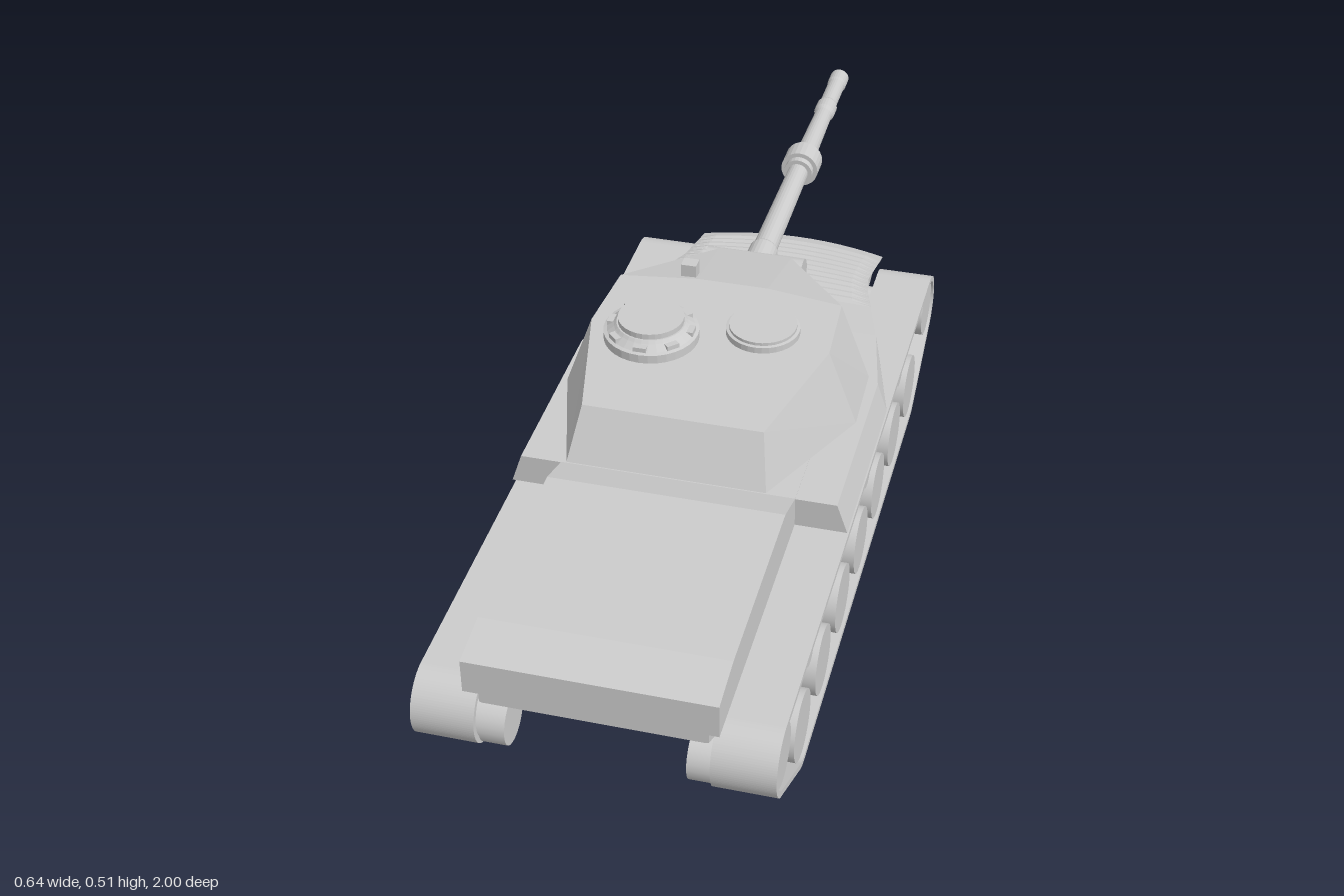
import * as THREE from 'three';

const grey = new THREE.MeshStandardMaterial({ color: 0xcccccc });
const facet = new THREE.MeshStandardMaterial({ color: 0xcccccc, flatShading: true });

export function createModel() {
  const model = new THREE.Group();

  function add(name, geometry, x = 0, y = 0, z = 0, material = grey, parent = model) {
    const mesh = new THREE.Mesh(geometry, material);
    mesh.name = name;
    mesh.position.set(x, y, z);
    parent.add(mesh);
    return mesh;
  }

  // Closed skin through a list of rings, with both ends capped
  function loft(rings) {
    const pos = [];
    const tri = (a, b, c) => pos.push(...a, ...b, ...c);
    const n = rings[0].length;
    for (let i = 0; i < rings.length - 1; i++) {
      for (let j = 0; j < n; j++) {
        const k = (j + 1) % n;
        const [a, b, c, d] = [rings[i][j], rings[i][k], rings[i + 1][j], rings[i + 1][k]];
        tri(a, b, c);
        tri(b, d, c);
      }
    }
    const cap = (ring, flip) => {
      const m = [0, 1, 2].map(k => ring.reduce((s, p) => s + p[k], 0) / n);
      ring.forEach((p, j) => {
        const q = ring[(j + 1) % n];
        flip ? tri(m, q, p) : tri(m, p, q);
      });
    };
    cap(rings[0], true);
    cap(rings[rings.length - 1], false);
    const g = new THREE.BufferGeometry();
    g.setAttribute('position', new THREE.Float32BufferAttribute(pos, 3));
    g.computeVertexNormals();
    return g;
  }

  // Side profile of (z, y) points extruded across x, centred on x = 0
  function sideExtrude(points, width, hole) {
    const shape = new THREE.Shape(points);
    if (hole) shape.holes.push(new THREE.Path(hole));
    return new THREE.ExtrudeGeometry(shape, { depth: width, bevelEnabled: false })
      .translate(0, 0, -width / 2).rotateY(-Math.PI / 2);
  }
  const v2 = list => list.map(([a, b]) => new THREE.Vector2(a, b));
  const axleX = (r, len, seg = 32) => new THREE.CylinderGeometry(r, r, len, seg).rotateZ(Math.PI / 2);

  // Upper hull: z, top half width, top y, bottom half width, bottom y
  const stations = [
    [0.44, 0.30, 0.305, 0.32, 0.245], [0.06, 0.30, 0.305, 0.32, 0.245],
    [-0.10, 0.265, 0.305, 0.275, 0.245], [-0.20, 0.235, 0.303, 0.22, 0.24],
    [-0.28, 0.213, 0.285, 0.19, 0.235], [-0.36, 0.20, 0.262, 0.18, 0.225],
    [-0.525, 0.20, 0.212, 0.195, 0.20]];
  function hullAt(z) {
    let i = 0;
    while (i < stations.length - 2 && z < stations[i + 1][0]) i++;
    const [a, b] = [stations[i], stations[i + 1]];
    const t = (z - a[0]) / (b[0] - a[0]);
    return a.map((v, k) => v + (b[k] - v) * t);
  }
  const zs = [0.44, 0.06, -0.1, -0.15];
  for (let i = 0; i <= 48; i++) zs.push(-0.2 - 0.325 * i / 48);
  const hullRings = zs.map((z, i) => {
    const [, xt, yt, xb, yb] = hullAt(z);
    const bow = Math.max(0, (-0.1 - z) / 0.425);
    // Corrugated glacis: every fourth station steps down
    const rib = i > 4 && z > -0.5 ? [0, 0.003, 0.006, 0.006][i % 4] : 0;
    const ring = [];
    const push = (x, y, half) => ring.push([x, y, z - 0.035 * bow * (1 - (x / half) ** 2)]);
    for (let k = -6; k <= 6; k++) push(xt * k / 6, yt + (Math.abs(k) < 6 ? rib : 0), xt);
    for (let k = 6; k >= -6; k--) push(xb * k / 6, yb, xb);
    return ring;
  });
  add('upperHull', loft(hullRings), 0, 0, 0, facet);

  // Lower hull: z, half width, top y, chine y, belly half width, belly y
  const lower = [
    [0.98, 0.20, 0.25, 0.212, 0.195, 0.21], [0.86, 0.20, 0.25, 0.14, 0.165, 0.085],
    [-0.26, 0.20, 0.25, 0.14, 0.165, 0.085], [-0.38, 0.185, 0.235, 0.16, 0.14, 0.115],
    [-0.525, 0.185, 0.205, 0.20, 0.17, 0.195]];
  add('lowerHull', loft(lower.map(([z, w, yt, yc, wb, yb]) =>
    [[-w, yt, z], [w, yt, z], [w, yc, z], [wb, yb, z], [-wb, yb, z], [-w, yc, z]])), 0, 0, 0, facet);

  // Raised engine deck
  add('engineDeck', sideExtrude(v2([[0.995, 0.245], [0.995, 0.312], [0.9, 0.327], [0.52, 0.333],
    [0.44, 0.306], [0.3, 0.306], [0.3, 0.245]]), 0.444));

  // Turret: rings from underside to roof, half outline from rear to front
  const turret = new THREE.Group();
  turret.name = 'turret';
  model.add(turret);
  const mirrorRing = half => [...half, ...half.slice().reverse().map(([x, y, z]) => [-x, y, z])];
  add('turretShell', loft([
    [[0.16, 0.312, 0.36], [0.265, 0.312, 0.2], [0.26, 0.312, 0.05], [0.09, 0.325, -0.13]],
    [[0.185, 0.371, 0.515], [0.285, 0.313, 0.2], [0.28, 0.313, 0.05], [0.1, 0.365, -0.19]],
    [[0.168, 0.465, 0.463], [0.23, 0.465, 0.2], [0.22, 0.463, 0.04], [0.075, 0.418, -0.165]],
    [[0.168, 0.465, 0.463], [0.23, 0.465, 0.2], [0.22, 0.463, 0.04], [0.07, 0.465, 0.02]],
  ].map(mirrorRing)), 0, 0, 0, facet, turret);
  add('turretRing', new THREE.CylinderGeometry(0.21, 0.21, 0.03, 40), 0, 0.305, 0.13, grey, turret);

  // Commander cupola, periscopes, hatch and sight
  const lathe = pts => new THREE.LatheGeometry(v2(pts), 32);
  add('cupola', lathe([[0.09, 0], [0.09, 0], [0.09, 0.018], [0.083, 0.02], [0.07, 0.03], [0.065, 0.035],
    [0.062, 0.035], [0.062, 0.046], [0.06, 0.046], [0, 0.046]]), -0.105, 0.464, 0.225, facet, turret);
  for (let i = 0; i < 8; i++) {
    const a = i * Math.PI / 4;
    add('cupolaPeriscope', new THREE.BoxGeometry(0.025, 0.01, 0.012),
      -0.105 + 0.077 * Math.sin(a), 0.488, 0.225 + 0.077 * Math.cos(a), grey, turret).rotation.y = a;
  }
  add('loaderHatch', lathe([[0.07, 0], [0.07, 0.013], [0.064, 0.014], [0.064, 0.02], [0, 0.02]]),
    0.095, 0.464, 0.163, facet, turret);
  add('sight', new THREE.BoxGeometry(0.03, 0.03, 0.026), -0.09, 0.473, 0, grey, turret);

  // Mantlet and gun
  add('mantlet', axleX(0.035, 0.2, 16), 0, 0.38, -0.165, grey, turret);
  const gunProfile = [[0, 0.12], [0.033, 0.12], [0.03, 0.24], [0.025, 0.25], [0.022, 0.56], [0.031, 0.56],
    [0.031, 0.575], [0.04, 0.575], [0.04, 0.625], [0.03, 0.63], [0.022, 0.645], [0.019, 0.82],
    [0.023, 0.83], [0.023, 0.86], [0.019, 0.87], [0.019, 0.96], [0.021, 0.965], [0.021, 1], [0.014, 1], [0.014, 0.9], [0, 0.9]];
  add('gun', new THREE.LatheGeometry(v2(gunProfile), 24).rotateX(-Math.PI / 2), 0, 0.375, 0, facet, turret);

  // Driver periscopes on the bow
  for (const x of [-0.04, 0, 0.04])
    add('driverPeriscope', new THREE.BoxGeometry(0.025, 0.018, 0.02), x, 0.3, -0.25 - 0.01 * (x === 0 ? 1 : 0));

  // Track outline: belt stretched round four circles (z, y, radius)
  const guides = [[0.93, 0.16, 0.07], [0.775, 0.075, 0.075], [-0.25, 0.075, 0.075], [-0.43, 0.16, 0.07]];
  function belt(inset) {
    const pts = [];
    for (let i = 0; i < 96; i++) {
      const a = (i + 0.5) / 96 * Math.PI * 2;
      const [c, s] = [Math.cos(a), Math.sin(a)];
      const reach = g => g[0] * c + g[1] * s + g[2];
      const g = guides.reduce((m, q) => (reach(q) > reach(m) ? q : m));
      pts.push(new THREE.Vector2(g[0] + (g[2] - inset) * c, g[1] + (g[2] - inset) * s));
    }
    return pts;
  }

  // Running gear on both sides
  for (const side of [-1, 1]) {
    const gear = new THREE.Group();
    gear.name = side > 0 ? 'leftRunningGear' : 'rightRunningGear';
    model.add(gear);
    add('track', sideExtrude(belt(0), 0.114, belt(0.011)), side * 0.263, 0, 0, grey, gear);
    for (let i = 0; i < 7; i++) {
      const z = 0.775 - i * 0.171;
      add('roadWheel', axleX(0.066, 0.095), side * 0.267, 0.08, z, grey, gear);
      // Swing arm from hull pivot to axle
      const lean = i < 3 ? -0.06 : 0.06;
      const from = new THREE.Vector3(side * 0.15, 0.115, z + lean);
      const to = new THREE.Vector3(side * 0.23, 0.08, z);
      add('swingArm', new THREE.TubeGeometry(new THREE.LineCurve3(from, to), 1, 0.018, 10), 0, 0, 0, grey, gear);
    }
    for (const z of [0.69, 0.18, -0.16]) {
      add('returnRoller', axleX(0.032, 0.08, 24), side * 0.268, 0.182, z, grey, gear);
      add('rollerAxle', axleX(0.012, 0.06, 12), side * 0.21, 0.182, z, grey, gear);
    }
    for (const [name, z] of [['driveSprocket', 0.93], ['idler', -0.43]]) {
      add(name, axleX(0.058, 0.1), side * 0.265, 0.16, z, grey, gear);
      add(name + 'Hub', axleX(name === 'idler' ? 0.03 : 0.05, 0.08, 24), side * 0.2, name === 'idler' ? 0.16 : 0.137, z, grey, gear);
    }
  }
  return model;
}
